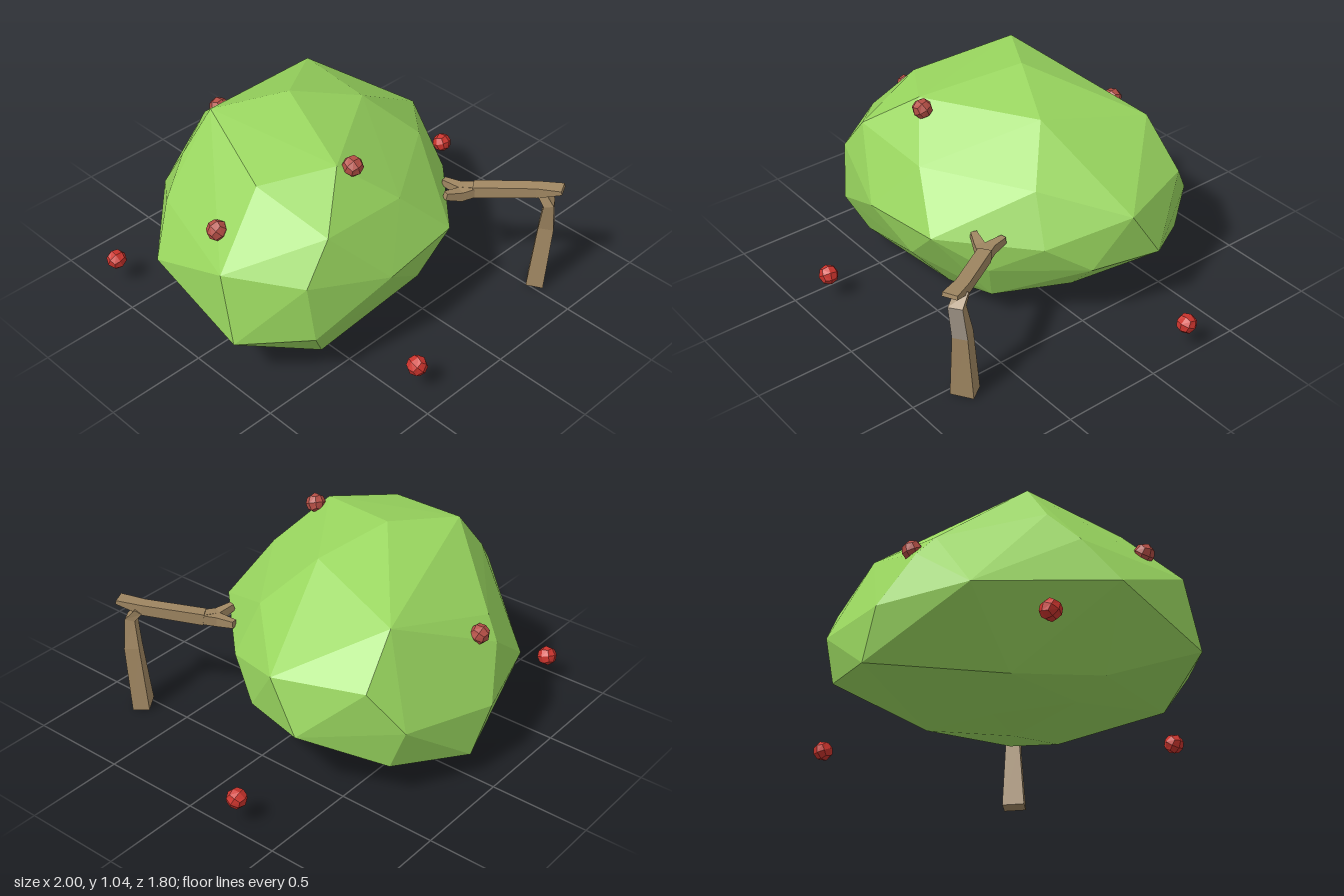
import * as THREE from 'three';
import { ConvexGeometry } from 'three/addons/geometries/ConvexGeometry.js';

const mat = (name, color) => {
  const m = new THREE.MeshStandardMaterial({ color, flatShading: true });
  m.name = name;
  return m;
};
const V = (p) => new THREE.Vector3(...p);

// Four-sided limb through sections [x, y, z, width, depth]; isAlt(segment, side) picks the second material
function limb(sections, ref, isAlt = () => false) {
  const centres = sections.map((s) => V(s.slice(0, 3)));
  const last = centres.length - 1;
  const rings = sections.map((s, k) => {
    const t = centres[Math.min(k + 1, last)].clone().sub(centres[Math.max(k - 1, 0)]).normalize();
    const r = ref.clone().cross(t).normalize();
    const u = t.clone().cross(r);
    return [[1, 1], [-1, 1], [-1, -1], [1, -1]].map(([a, b]) =>
      centres[k].clone().addScaledVector(r, a * s[3] / 2).addScaledVector(u, b * s[4] / 2));
  });
  const pos = [];
  const geo = new THREE.BufferGeometry();
  const quad = (a, b, c, d, m) => {
    geo.addGroup(pos.length / 3, 6, m);
    for (const p of [a, b, c, a, c, d]) pos.push(p.x, p.y, p.z);
  };
  for (let k = 0; k < last; k++) {
    for (let i = 0; i < 4; i++) {
      const j = (i + 1) % 4;
      quad(rings[k][i], rings[k][j], rings[k + 1][j], rings[k + 1][i], isAlt(k, i) ? 1 : 0);
    }
  }
  quad(...[...rings[0]].reverse(), 0);
  quad(...rings[last], 0);
  geo.setAttribute('position', new THREE.Float32BufferAttribute(pos, 3));
  geo.computeVertexNormals();
  return geo;
}

// Faceted ball: a subdivided cube pushed out to a sphere
function facetedBall(radius) {
  const geo = new THREE.BoxGeometry(1, 1, 1, 2, 2, 2).toNonIndexed();
  const p = geo.attributes.position;
  const v = new THREE.Vector3();
  for (let i = 0; i < p.count; i++) {
    v.fromBufferAttribute(p, i).setLength(radius);
    p.setXYZ(i, v.x, v.y, v.z);
  }
  geo.computeVertexNormals();
  return geo;
}

export function createModel() {
  const group = new THREE.Group();
  const leaf = mat('leaf green', 0x98d55e);
  const bark = mat('bark brown', 0xa08762);
  const greyBark = mat('grey bark', 0x978c7f);
  const red = mat('apple red', 0xcb342d);
  const dullRed = mat('dull apple red', 0xb44e45);

  const add = (name, geo, material) => {
    const mesh = new THREE.Mesh(geo, material);
    mesh.name = name;
    group.add(mesh);
    return mesh;
  };

  // Foliage: faceted crown, from the top down
  const crown = [
    [-0.21, 1.04, -0.19], [-0.53, 1.0, -0.38], [0.12, 0.93, -0.04], [-0.38, 0.95, 0.3],
    [-0.69, 0.9, 0.11], [0.27, 0.83, -0.58], [-0.61, 0.77, 0.48], [-0.68, 0.8, -0.42],
    [-0.29, 0.7, -0.73], [-0.15, 0.74, 0.47], [0.32, 0.71, 0.15], [-0.83, 0.64, -0.37],
    [-0.98, 0.6, 0.18], [-0.98, 0.42, -0.28], [-0.76, 0.58, 0.5], [0.48, 0.6, -0.61],
    [0.63, 0.59, -0.18], [-0.25, 0.6, -0.81], [-0.35, 0.48, 0.62], [0.08, 0.5, 0.58],
    [0.45, 0.47, 0.2], [-0.1, 0.36, -0.9], [0.38, 0.4, -0.76], [-0.54, 0.38, -0.77],
    [0.65, 0.34, -0.34], [0.56, 0.33, 0.0], [0.26, 0.33, 0.38], [-1.0, 0.26, 0.27],
    [-0.74, 0.29, 0.53], [-0.11, 0.31, 0.56], [0.4, 0.2, -0.69], [0.01, 0.13, -0.87],
    [-0.64, 0.12, 0.46], [-0.06, 0.09, 0.38], [0.41, 0.17, 0.0], [0.2, 0.13, 0.32],
    [-0.75, 0.09, -0.12], [-0.5, 0.06, -0.47], [0.22, 0.05, -0.25], [-0.09, 0.02, 0.02],
    [-0.57, 0.02, -0.1], [-0.2, 0.02, -0.25],
  ];
  add('foliage', new ConvexGeometry(crown.map(V)), leaf);

  // Trunk: tapering post turned to line up with the branch, grey on its upper front face
  const trunkFront = new THREE.Vector3(0.56, 0, 0.83);
  const up = new THREE.Vector3(0, 1, 0);
  add('trunk', limb([
    [0.555, 0, 0.75, 0.115, 0.085], [0.575, 0.35, 0.77, 0.075, 0.075],
    [0.56, 0.5, 0.785, 0.07, 0.05], [0.545, 0.56, 0.74, 0.06, 0.04],
  ], trunkFront, (segment, side) => segment === 1 && side === 0), [bark, greyBark]);

  // Branch reaching into the crown, forking into two twigs
  add('branch', limb([
    [0.585, 0.597, 0.84, 0.075, 0.02], [0.53, 0.565, 0.73, 0.065, 0.055],
    [0.36, 0.525, 0.48, 0.065, 0.06],
  ], up), [bark]);
  [[[0.29, 0.515, 0.455], [0.21, 0.537, 0.43]], [[0.325, 0.515, 0.42], [0.31, 0.518, 0.33]]].forEach(([mid, tip], i) => {
    add('twig' + (i + 1), limb([
      [0.37, 0.525, 0.49, 0.055, 0.05], [...mid, 0.05, 0.05], [...tip, 0.03, 0.035],
    ], up), [bark]);
  });

  // Apples: three on the crown, three loose around it
  const ball = facetedBall(0.05);
  const apples = (name, material, places) => places.forEach((p, i) => {
    const apple = add(name + (i + 1), ball, material);
    apple.position.set(...p);
    apple.rotation.set(0.4 + i, 0.7 * i, 0.3);
  });
  apples('crownApple', dullRed, [[-0.31, 0.93, 0.33], [-0.87, 0.715, 0.04], [-0.175, 0.66, -0.76]]);
  apples('looseApple', red, [[-0.925, 0.14, -0.7], [-0.415, 0.135, 0.85], [0.95, 0.135, -0.25]]);

  return group;
}
